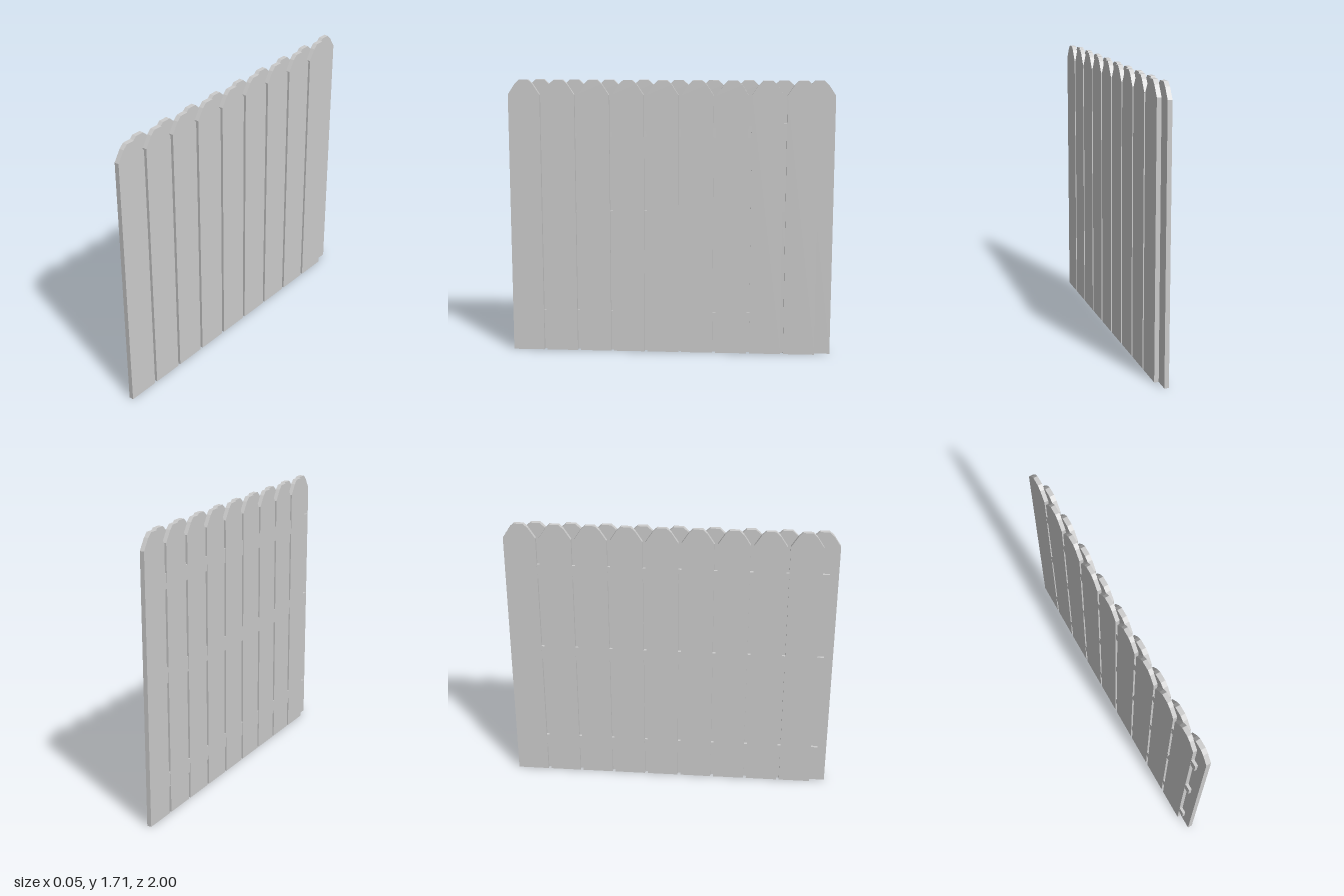
import * as THREE from 'three';

const PITCH = 0.2135, WIDTH = 0.195, COUNT = 9;

// Plank outline with a faceted arched top, extruded along x
function plankGeometry(thickness) {
  const h = WIDTH / 2;
  const right = [[h, 0], [h, 1.62], [0.055, 1.685], [0.028, 1.71]];
  const left = right.map(([u, y]) => [-u, y]).reverse();
  const shape = new THREE.Shape([...right, ...left].map(([u, y]) => new THREE.Vector2(u, y)));
  const geometry = new THREE.ExtrudeGeometry(shape, { depth: thickness, bevelEnabled: false });
  return geometry.rotateY(Math.PI / 2);
}

export function createModel() {
  const fence = new THREE.Group();
  fence.name = 'fence';
  const material = new THREE.MeshStandardMaterial({ color: 0xcccccc, flatShading: true });

  // Two staggered rows of planks, one on each side
  function plankRow(name, x0, x1, firstZ, direction) {
    const row = new THREE.Group();
    row.name = name + 'Row';
    const geometry = plankGeometry(x1 - x0);
    for (let i = 0; i < COUNT; i++) {
      const plank = new THREE.Mesh(geometry, material);
      plank.name = name + 'Plank';
      plank.position.set(x0, 0, firstZ + direction * (WIDTH / 2 + i * PITCH));
      row.add(plank);
    }
    fence.add(row);
  }
  plankRow('outer', -0.002, 0.027, 1, -1);
  plankRow('inner', -0.027, 0, -1, 1);

  // Horizontal rails that show in the gaps between planks
  function rail(name, x0, x1, y, z0, z1) {
    const mesh = new THREE.Mesh(new THREE.BoxGeometry(x1 - x0, 0.09, z1 - z0), material);
    mesh.name = name;
    mesh.position.set((x0 + x1) / 2, y, (z0 + z1) / 2);
    fence.add(mesh);
  }
  for (const y of [0.213, 0.857, 1.407]) {
    rail('innerRail', -0.0255, -0.008, y, -0.945, 0.945);
    rail('outerRail', -0.001, 0.006, y, -0.9, 0.945);
  }
  return fence;
}
